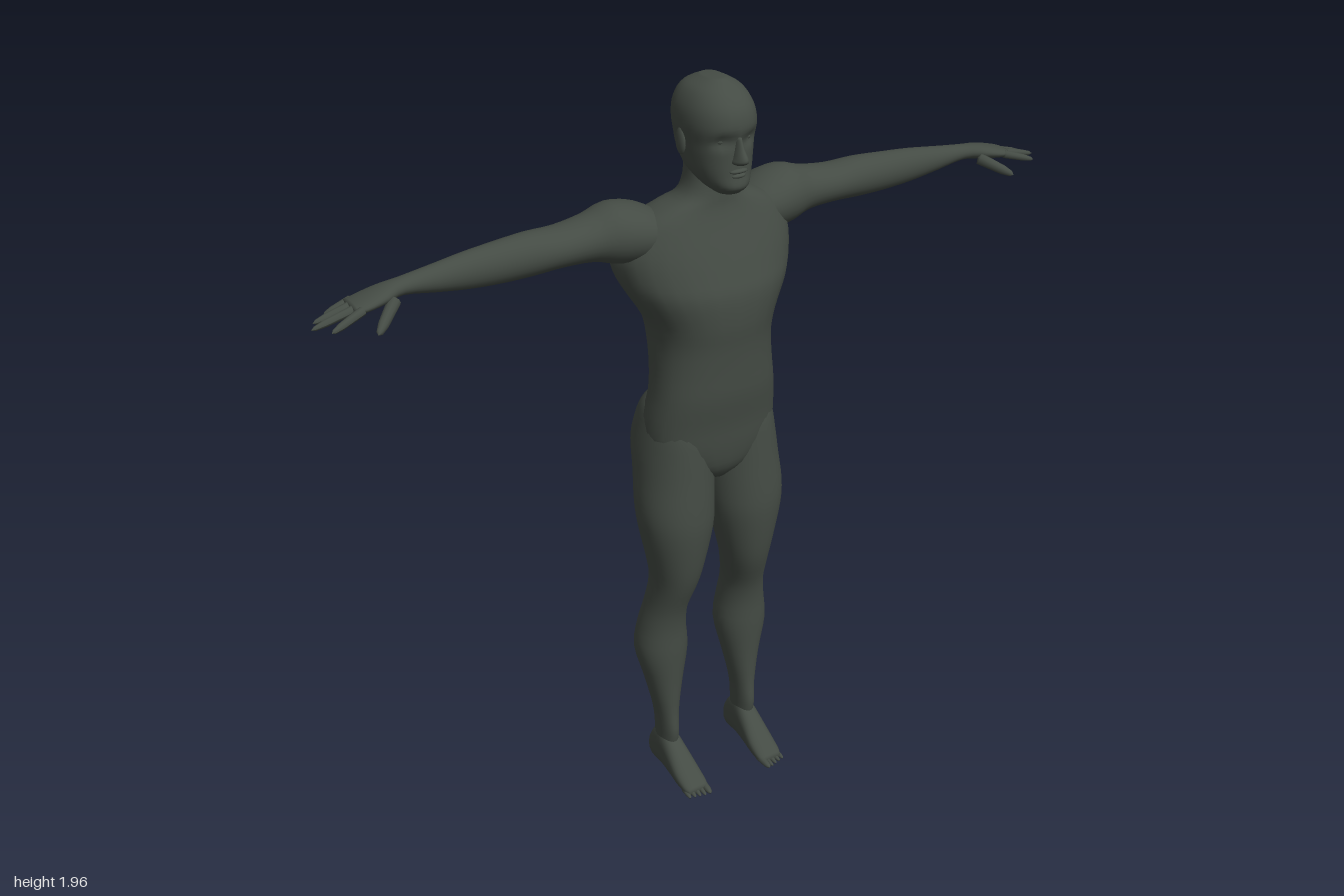
import * as THREE from 'three';

const skin = new THREE.MeshStandardMaterial({ name: 'dark grey green', color: 0x444b44 });
const SIDES = 28;
const bump = (d, w) => Math.exp(-(d * d) / (w * w));

// Axis layouts: how (u, t, v) of a cross-section turn into x, y, z
const upright = (u, t, v) => [u, t, v];
const sideways = (u, t, v) => [t, v, u];
const forward = (u, t, v) => [v, u, t];

// Smooth loft through rows [t, uMin, uMax, vMin, vMax, vMid]; t ascends
function loft(rows, place, power = 1, warp = null, sub = 3) {
  const full = rows.map(r => (r.length > 5 ? r : [...r, (r[3] + r[4]) / 2]));
  const rings = [];
  for (let i = 0; i < full.length - 1; i++) {
    const [a, b, c, d] = [-1, 0, 1, 2].map(k => full[THREE.MathUtils.clamp(i + k, 0, full.length - 1)]);
    for (let s = 0; s < sub; s++) {
      const f = s / sub;
      rings.push(b.map((v, k) => 0.5 * (2 * v + (c[k] - a[k]) * f
        + (2 * a[k] - 5 * v + 4 * c[k] - d[k]) * f * f
        + (3 * v - a[k] - 3 * c[k] + d[k]) * f * f * f)));
    }
  }
  rings.push(full[full.length - 1]);
  const pos = [], idx = [];
  const add = (u, t, v) => {
    const p = place(u, t, v);
    if (warp) warp(p);
    pos.push(...p);
  };
  const round = w => Math.sign(w) * Math.abs(w) ** power;
  for (const [t, u0, u1, v0, v1, vm] of rings) {
    for (let i = 0; i < SIDES; i++) {
      const ang = (i / SIDES) * Math.PI * 2;
      const c = round(Math.cos(ang)), s = round(Math.sin(ang));
      add((u0 + u1) / 2 + ((u1 - u0) / 2) * c, t, vm + s * (s > 0 ? v1 - vm : vm - v0));
    }
  }
  const n = rings.length, last = rings[n - 1];
  for (const r of [rings[0], last]) add((r[1] + r[2]) / 2, r[0], r[5]);
  for (let r = 0; r < n - 1; r++) {
    for (let i = 0; i < SIDES; i++) {
      const j = (i + 1) % SIDES, a = r * SIDES + i, b = r * SIDES + j;
      idx.push(a, a + SIDES, b, b, a + SIDES, b + SIDES);
    }
  }
  for (let i = 0; i < SIDES; i++) {
    const j = (i + 1) % SIDES, top = (n - 1) * SIDES;
    idx.push(n * SIDES, i, j, n * SIDES + 1, top + j, top + i);
  }
  const g = new THREE.BufferGeometry();
  g.setAttribute('position', new THREE.Float32BufferAttribute(pos, 3));
  g.setIndex(idx);
  g.computeVertexNormals();
  return g;
}

// Tapered finger or toe between two points
function digit(from, to, r) {
  const a = new THREE.Vector3(...from), dir = new THREE.Vector3(...to).sub(a), len = dir.length();
  const profile = [[0, 0], [1, 0.05], [0.9, 0.4], [0.8, 0.7], [0.5, 0.92], [0, 1]];
  const g = new THREE.LatheGeometry(profile.map(([x, y]) => new THREE.Vector2(x * r, y * len)), 10);
  g.applyQuaternion(new THREE.Quaternion().setFromUnitVectors(new THREE.Vector3(0, 1, 0), dir.normalize()));
  return g.translate(...from);
}

function ellipsoid(x, y, z, rx, ry, rz) {
  return new THREE.SphereGeometry(1, 16, 12).scale(rx, ry, rz).translate(x, y, z);
}

// Copy reflected to the other side of the body, with the winding turned back
function mirrored(geometry) {
  const g = geometry.clone().scale(-1, 1, 1), ix = g.index.array;
  for (let i = 0; i < ix.length; i += 3) [ix[i], ix[i + 1]] = [ix[i + 1], ix[i]];
  g.computeVertexNormals();
  return g;
}

export function createModel() {
  const model = new THREE.Group();
  model.name = 'standingFigure';
  const add = (name, geometry) => {
    const mesh = new THREE.Mesh(geometry, skin);
    mesh.name = name;
    model.add(mesh);
  };
  const pair = (name, geometry) => {
    add(name + 'Left', geometry);
    add(name + 'Right', mirrored(geometry));
  };
  const symmetric = rows => rows.map(([t, h, ...rest]) => [t, -h, h, ...rest]);

  // Torso and neck, with a groove along the spine
  add('torso', loft(symmetric([
    [0.93, 0.03, -0.04, 0.05], [0.97, 0.11, -0.08, 0.08], [1.03, 0.17, -0.11, 0.093],
    [1.1, 0.178, -0.12, 0.1], [1.18, 0.166, -0.105, 0.113], [1.25, 0.158, -0.115, 0.117],
    [1.32, 0.156, -0.135, 0.122], [1.38, 0.168, -0.147, 0.129, -0.01], [1.45, 0.208, -0.152, 0.128, -0.03],
    [1.5, 0.23, -0.154, 0.113, -0.05], [1.56, 0.235, -0.152, 0.092, -0.06], [1.62, 0.2, -0.12, 0.07, -0.045],
    [1.655, 0.14, -0.095, 0.06, -0.02], [1.68, 0.085, -0.07, 0.058], [1.72, 0.064, -0.06, 0.055],
    [1.78, 0.062, -0.055, 0.05],
  ]), upright, 0.88, p => {
    if (p[2] < 0) p[2] += 0.02 * bump(p[0], 0.035) * bump(p[1] - 1.4, 0.22);
  }));

  // Head with eye sockets pressed in
  add('head', loft(symmetric([
    [1.702, 0.03, 0.03, 0.105], [1.72, 0.05, -0.02, 0.124], [1.75, 0.068, -0.06, 0.121],
    [1.79, 0.078, -0.085, 0.119], [1.82, 0.082, -0.092, 0.12], [1.86, 0.087, -0.097, 0.126],
    [1.9, 0.081, -0.094, 0.116], [1.935, 0.06, -0.07, 0.085], [1.957, 0.022, -0.025, 0.045],
  ]), upright, 0.9, p => {
    if (p[2] > 0.05) p[2] -= 0.014 * bump(Math.abs(p[0]) - 0.035, 0.018) * bump(p[1] - 1.83, 0.016);
  }, 5));
  add('nose', loft(symmetric([
    [1.774, 0.008, 0.09, 0.125], [1.782, 0.018, 0.09, 0.145], [1.793, 0.015, 0.09, 0.15],
    [1.815, 0.01, 0.09, 0.136], [1.84, 0.007, 0.09, 0.125],
  ]), upright));
  add('upperLip', ellipsoid(0, 1.76, 0.117, 0.024, 0.006, 0.01));
  add('lowerLip', ellipsoid(0, 1.749, 0.116, 0.02, 0.006, 0.01));
  pair('eye', ellipsoid(0.034, 1.829, 0.091, 0.013, 0.008, 0.012));
  pair('ear', ellipsoid(0.083, 1.815, 0.005, 0.009, 0.032, 0.018).rotateX(0));

  // Arm from inside the shoulder to the knuckles
  pair('arm', loft([
    [0.1, -0.1, 0.02, 1.55, 1.63], [0.17, -0.137, 0.035, 1.53, 1.668], [0.24, -0.132, 0.03, 1.535, 1.682],
    [0.3, -0.118, 0.012, 1.552, 1.665], [0.38, -0.107, 0.008, 1.558, 1.655], [0.46, -0.092, 0.01, 1.558, 1.66],
    [0.54, -0.08, 0.008, 1.56, 1.657], [0.62, -0.066, 0.008, 1.568, 1.653], [0.7, -0.052, 0.008, 1.582, 1.645],
    [0.78, -0.04, 0.01, 1.598, 1.637], [0.83, -0.04, 0.035, 1.597, 1.634], [0.88, -0.042, 0.042, 1.592, 1.622],
    [0.905, -0.038, 0.038, 1.596, 1.614],
  ], sideways));

  // Fingers as [base z, tip x, tip z]
  [[-0.032, 0.95, -0.038], [-0.01, 0.985, -0.01], [0.012, 1, 0.02], [0.033, 0.97, 0.058]].forEach(
    ([z, tx, tz], i) => pair('finger' + (i + 1), digit([0.885, 1.606, z], [tx, 1.582, tz], 0.0105)));
  pair('thumb', digit([0.81, 1.606, 0.02], [0.88, 1.565, 0.085], 0.015));

  // Leg from inside the hip to the ankle
  pair('leg', loft([
    [0.05, 0.1, 0.15, -0.07, 0], [0.13, 0.1, 0.15, -0.075, 0.02], [0.2, 0.095, 0.155, -0.08, 0.015],
    [0.3, 0.075, 0.175, -0.1, 0.015], [0.4, 0.055, 0.198, -0.12, 0.02], [0.48, 0.063, 0.188, -0.112, 0.022],
    [0.55, 0.066, 0.175, -0.095, 0.035], [0.63, 0.05, 0.17, -0.08, 0.065], [0.7, 0.033, 0.18, -0.085, 0.082],
    [0.8, 0.01, 0.2, -0.1, 0.095], [0.87, 0.003, 0.205, -0.112, 0.095], [0.95, 0, 0.197, -0.132, 0.09],
    [1.02, 0, 0.19, -0.152, 0.086], [1.08, 0.004, 0.18, -0.144, 0.08], [1.14, 0.02, 0.165, -0.112, 0.06],
    [1.18, 0.05, 0.13, -0.07, 0.03],
  ], upright, 0.95));

  // Foot from heel to ball, flat on the floor
  pair('foot', loft([
    [-0.096, 0.02, 0.055, 0.108, 0.142], [-0.08, 0, 0.1, 0.1, 0.15], [-0.03, 0, 0.135, 0.096, 0.154],
    [0.02, 0, 0.105, 0.09, 0.158], [0.07, 0, 0.062, 0.085, 0.161], [0.11, 0, 0.036, 0.086, 0.158],
    [0.128, 0.006, 0.024, 0.092, 0.15],
  ], forward, 0.85, p => { p[1] = Math.max(0, p[1]); }));
  for (let i = 0; i < 5; i++) {
    const x = 0.096 + i * 0.0138, r = i ? 0.0075 : 0.011;
    pair('toe' + (i + 1), digit([x, r + 0.004, 0.1], [x + 0.002, r, 0.154 - 0.004 * i], r));
  }
  return model;
}
